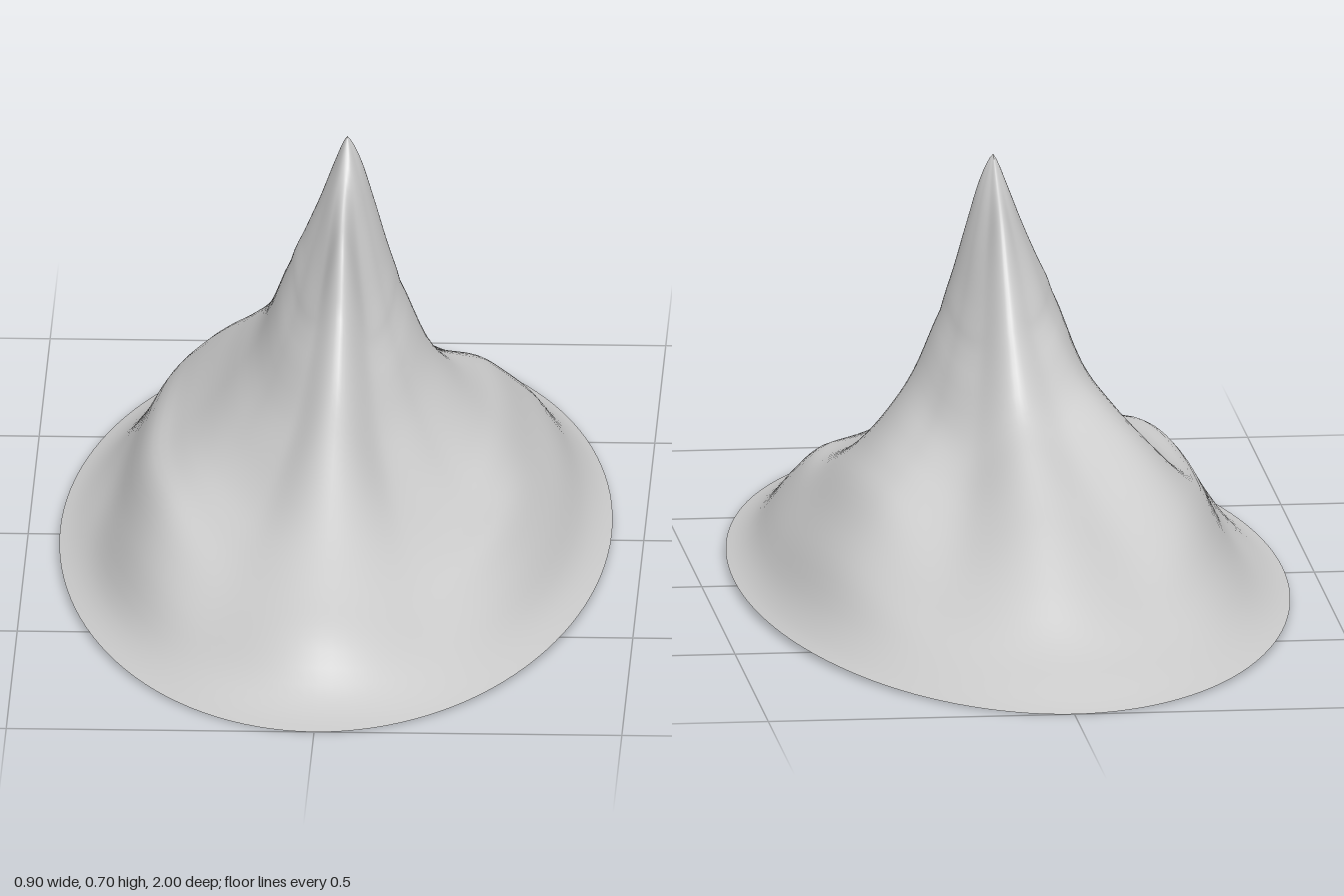
import * as THREE from 'three';

// Distance from peak (0) to rim (1) at which the slope profiles are sampled
const STEPS = [0, 0.05, 0.1, 0.15, 0.2, 0.3, 0.4, 0.5, 0.6, 0.7, 0.8, 0.9, 1];
const PEAK = { x: 0.02, y: 0.7, z: 0.04 };
const RADIUS = { x: 0.448, z: 1 };

// Slope heights every 30 degrees, from +x round through +z
const SLOPES = [
  [0.66, 0.59, 0.515, 0.445, 0.345, 0.28, 0.23, 0.19, 0.14, 0.09, 0.035],    // right side
  [0.645, 0.56, 0.475, 0.4, 0.295, 0.225, 0.18, 0.155, 0.138, 0.09, 0.033],  // small front knoll
  [0.64, 0.55, 0.465, 0.385, 0.28, 0.22, 0.18, 0.145, 0.11, 0.07, 0.03],
  [0.64, 0.595, 0.55, 0.45, 0.355, 0.3, 0.24, 0.185, 0.14, 0.1, 0.024],      // front ridge
  [0.64, 0.575, 0.495, 0.415, 0.31, 0.25, 0.2, 0.165, 0.125, 0.08, 0.03],
  [0.64, 0.57, 0.5, 0.425, 0.315, 0.25, 0.21, 0.19, 0.175, 0.115, 0.037],    // left ledge
  [0.645, 0.585, 0.53, 0.475, 0.355, 0.285, 0.23, 0.19, 0.16, 0.08, 0.035],
  [0.65, 0.585, 0.525, 0.46, 0.37, 0.32, 0.28, 0.235, 0.18, 0.1, 0.038],     // left back spur
  [0.65, 0.585, 0.51, 0.435, 0.33, 0.27, 0.225, 0.175, 0.12, 0.065, 0.03],
  [0.655, 0.605, 0.525, 0.45, 0.335, 0.285, 0.24, 0.197, 0.135, 0.065, 0.03], // back ridge
  [0.645, 0.57, 0.485, 0.405, 0.295, 0.235, 0.195, 0.16, 0.12, 0.07, 0.03],
  [0.65, 0.575, 0.49, 0.415, 0.31, 0.26, 0.232, 0.205, 0.16, 0.11, 0.045],   // right back shoulder
];

const cubic = (a, b, c, d, f) =>
  b + 0.5 * f * (c - a + f * (2 * a - 5 * b + 4 * c - d + f * (3 * (b - c) + d - a)));

// Full profile of one slope, peak to rim
const profiles = SLOPES.map((s, i) =>
  [PEAK.y, ...s, 0.01 * Math.cos(i * Math.PI / 6) ** 2]);

// Height at a fractional step along the slopes and a fractional direction
function heightAt(step, direction) {
  const n = profiles.length, last = STEPS.length - 1;
  const k = Math.min(Math.floor(step), last - 1), d = Math.floor(direction);
  const along = p => cubic(p[Math.max(k - 1, 0)], p[k], p[k + 1], p[Math.min(k + 2, last)], step - k);
  const [a, b, c, e] = [-1, 0, 1, 2].map(o => along(profiles[(d + o + n) % n]));
  return Math.max(0, cubic(a, b, c, e, direction - d));
}

export function createModel() {
  const group = new THREE.Group();
  const sub = 4, rings = (STEPS.length - 1) * sub, sides = 120;
  const positions = [], indices = [];

  // Rings spread from the off-centre peak out to the oval rim
  for (let r = 0; r <= rings; r++) {
    const step = r / sub, k = Math.min(Math.floor(step), STEPS.length - 2);
    const t = THREE.MathUtils.lerp(STEPS[k], STEPS[k + 1], step - k);
    for (let s = 0; s < sides; s++) {
      const a = s / sides * Math.PI * 2;
      positions.push(
        PEAK.x * (1 - t) + RADIUS.x * Math.cos(a) * t,
        heightAt(step, s / sides * SLOPES.length),
        PEAK.z * (1 - t) + RADIUS.z * Math.sin(a) * t);
      if (r === rings) continue;
      const i = r * sides + s, j = r * sides + (s + 1) % sides;
      if (r > 0) indices.push(i, j, i + sides);
      indices.push(j, j + sides, i + sides);
    }
  }

  const geometry = new THREE.BufferGeometry();
  geometry.setAttribute('position', new THREE.Float32BufferAttribute(positions, 3));
  geometry.setIndex(indices);
  geometry.computeVertexNormals();

  // Open-bottomed mountain shell
  const mountain = new THREE.Mesh(geometry,
    new THREE.MeshStandardMaterial({ color: 0xcccccc, side: THREE.DoubleSide }));
  mountain.name = 'mountain';
  group.add(mountain);
  return group;
}
